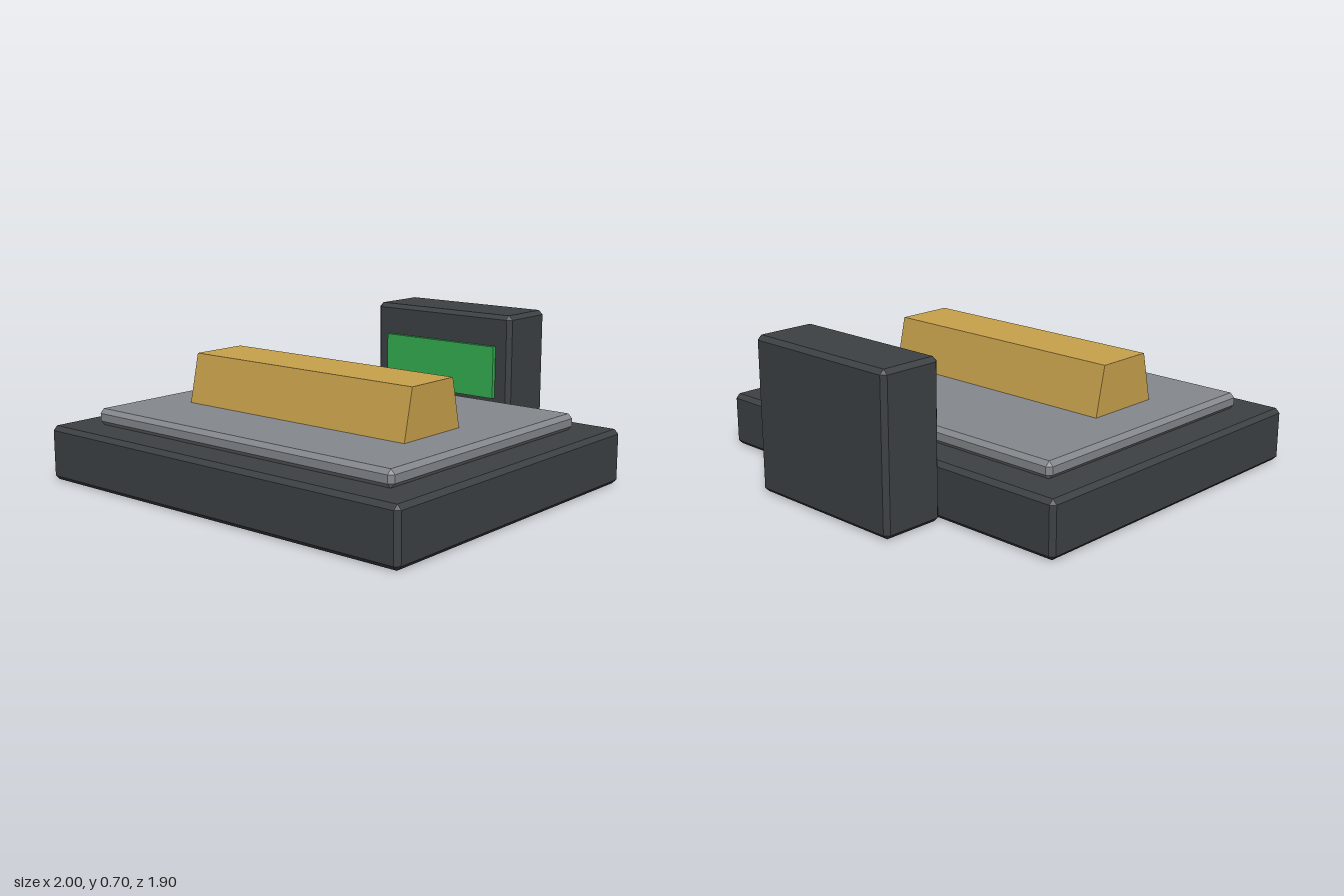
import * as THREE from 'three';
import { ConvexGeometry } from 'three/addons/geometries/ConvexGeometry.js';

const paint = (color) => new THREE.MeshStandardMaterial({ color, flatShading: true });

// Box with every edge cut by a flat chamfer, resting on its underside
function chamferBox(w, h, d, c) {
  const points = [];
  for (const x of [-1, 1]) for (const y of [-1, 1]) for (const z of [-1, 1]) {
    for (let axis = 0; axis < 3; axis++) {
      const inset = [0, 1, 2].map((i) => (i === axis ? 0 : c));
      points.push(new THREE.Vector3(
        x * (w / 2 - inset[0]), y * (h / 2 - inset[1]), z * (d / 2 - inset[2])));
    }
  }
  return new ConvexGeometry(points).translate(0, h / 2, 0);
}

export function createModel() {
  const model = new THREE.Group();
  const dark = paint(0x3d4144);

  function add(name, geometry, material, y, z) {
    const mesh = new THREE.Mesh(geometry, material);
    mesh.name = name;
    mesh.position.set(0, y, z);
    model.add(mesh);
  }

  // Scale body, weighing plate and display housing
  add('base', chamferBox(2, 0.25, 1.6, 0.02), dark, 0, 0.15);
  add('weighingPlate', chamferBox(1.7, 0.075, 1.3, 0.02), paint(0x85898e), 0.25, 0.15);
  add('displayHousing', chamferBox(0.8, 0.7, 0.3, 0.02), dark, 0, -0.8);

  // Display panel facing the plate
  add('displayScreen', new THREE.BoxGeometry(0.64, 0.25, 0.02), paint(0x34b050), 0.425, -0.64);

  // Bar on the plate: long sides slope inwards, ends are upright
  const section = new THREE.Shape([
    new THREE.Vector2(-0.1875, 0), new THREE.Vector2(0.1875, 0),
    new THREE.Vector2(0.1375, 0.225), new THREE.Vector2(-0.1375, 0.225),
  ]);
  const bar = new THREE.ExtrudeGeometry(section, { depth: 1.25, bevelEnabled: false });
  bar.translate(0, 0, -0.625).rotateY(Math.PI / 2);
  add('goldBar', bar, paint(0xc9a24c), 0.325, 0.25);

  return model;
}
